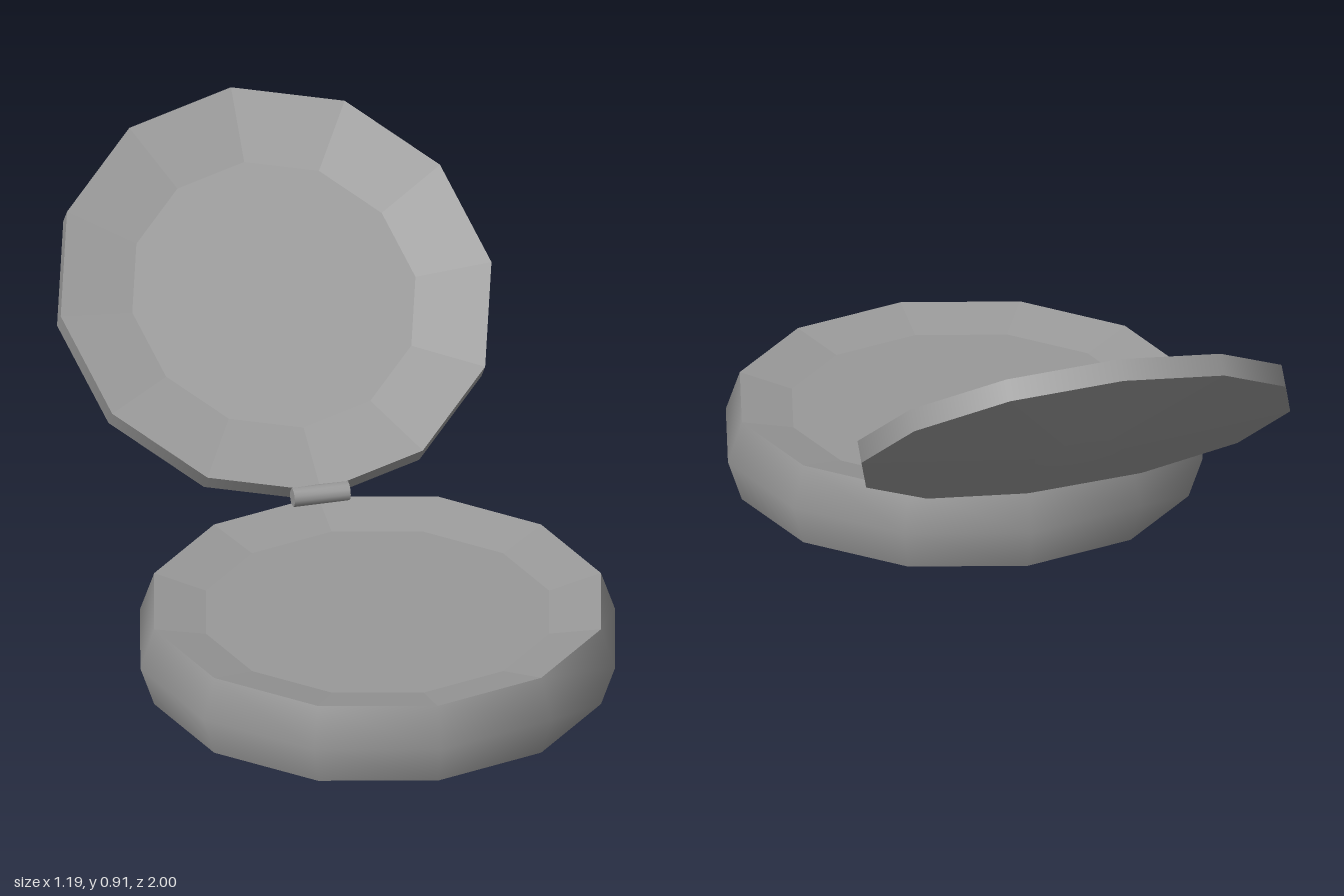
import * as THREE from 'three';
import { toCreasedNormals } from 'three/addons/utils/BufferGeometryUtils.js';

const SIDES = 12;
const OPEN_ANGLE = 0.675; // tilt of the open lid, radians

const smooth = new THREE.MeshStandardMaterial({ color: 0x999999 });
const faceted = new THREE.MeshStandardMaterial({ color: 0x999999, flatShading: true });

// Twelve-sided turned surface; profile points run upwards along the outside
function turned(name, profile, material) {
  const points = profile.map(([r, y]) => new THREE.Vector2(r, y));
  const mesh = new THREE.Mesh(new THREE.LatheGeometry(points, SIDES), material);
  mesh.name = name;
  return mesh;
}

// Smooth wall closed by a faceted underside and a faceted top
function shell(name, underside, wall, top) {
  const group = new THREE.Group();
  group.name = name;
  group.add(
    turned(name + 'Underside', underside, faceted),
    turned(name + 'Wall', wall, smooth),
    turned(name + 'Dish', top, faceted),
  );
  return group;
}

export function createModel() {
  const model = new THREE.Group();
  model.name = 'compactCase';

  // Base: bulging flank and a shallow dished tray on top
  const base = shell('base',
    [[0, 0], [0.56, 0]],
    [[0.56, 0], [0.595, 0.103], [0.56, 0.205]],
    [[0.56, 0.205], [0.43, 0.175], [0, 0.175]]);
  base.position.z = 0.405;
  model.add(base);

  // Lid: domed back, thin rim and a dished inner face
  const lid = shell('lid',
    [[0, -0.097], [0.112, -0.097], [0.54, -0.055]],
    [[0.54, -0.055], [0.54, 0]],
    [[0.54, 0], [0.355, -0.033], [0, -0.033]]);
  lid.position.set(0, 0.574, -0.543);
  lid.rotation.x = OPEN_ANGLE;
  model.add(lid);

  // Hinge barrel between base and lid
  const barrel = toCreasedNormals(new THREE.CylinderGeometry(0.024, 0.024, 0.14, 12), 0.72);
  barrel.rotateZ(Math.PI / 2);
  const hinge = new THREE.Mesh(barrel, smooth);
  hinge.name = 'hinge';
  hinge.position.set(0, 0.225, -0.13);
  model.add(hinge);

  return model;
}
